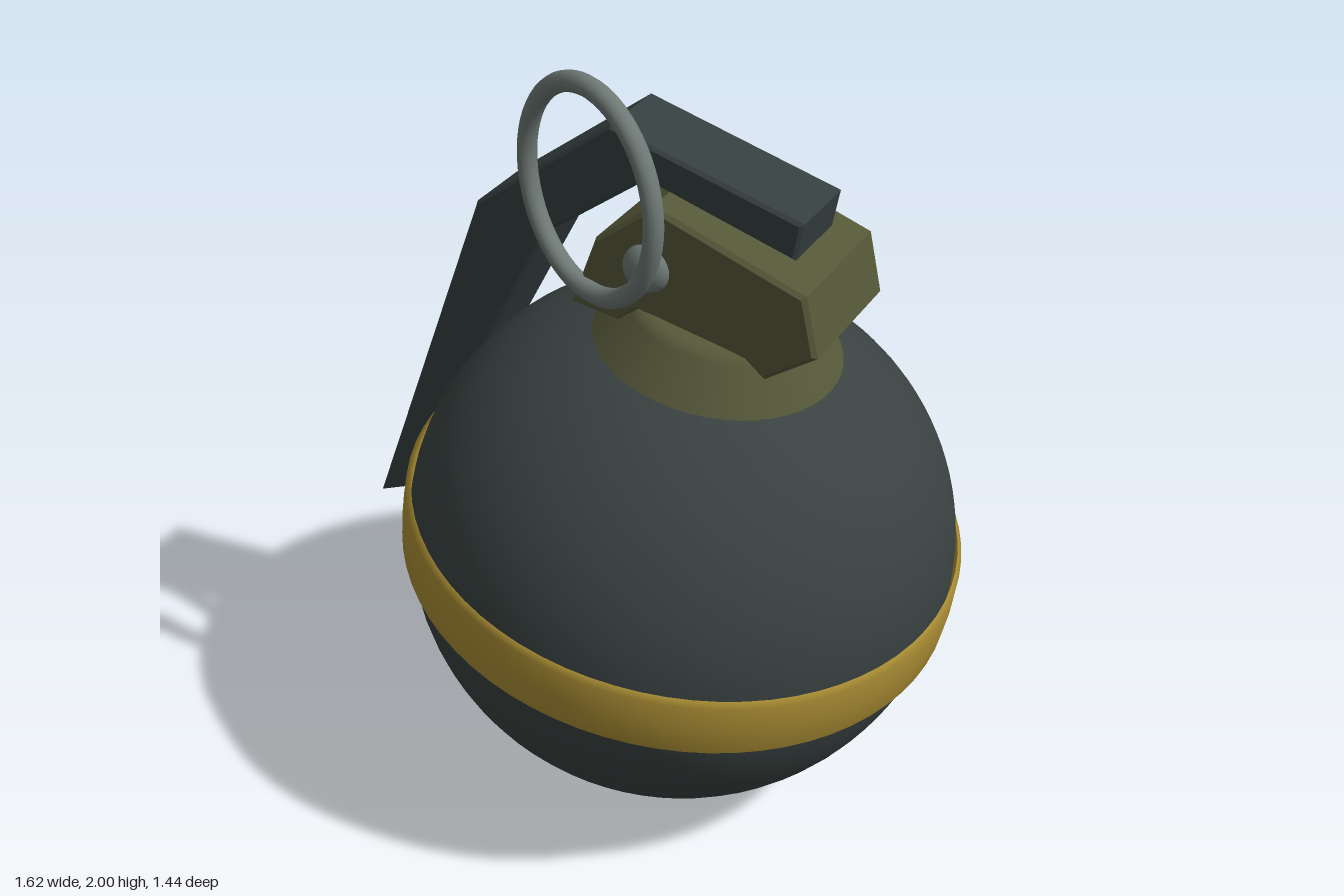
import * as THREE from 'three';

const material = (name, color, side = THREE.FrontSide) => {
  const m = new THREE.MeshStandardMaterial({ color, side });
  m.name = name;
  return m;
};

function add(parent, name, geometry, mat) {
  const mesh = new THREE.Mesh(geometry, mat);
  mesh.name = name;
  parent.add(mesh);
  return mesh;
}

const vectors = (points) => points.map(([x, y]) => new THREE.Vector2(x, y));

// Side outline extruded evenly about z = 0, with a small bevel kept inside the outline
function sidePlate(points, width, bevel) {
  const geometry = new THREE.ExtrudeGeometry(new THREE.Shape(vectors(points)), {
    depth: width - 2 * bevel,
    bevelThickness: bevel,
    bevelSize: bevel,
    bevelOffset: -bevel,
    bevelSegments: 1,
  });
  return geometry.translate(0, 0, -width / 2 + bevel);
}

export function createModel() {
  const model = new THREE.Group();
  model.name = 'grenade';

  const bodyPaint = material('dark grey body', 0x394241);
  const leverPaint = material('dark grey lever', 0x363f41);
  const olive = material('olive', 0x565839);
  const yellow = material('mustard yellow', 0xab8e34, THREE.DoubleSide);
  const steel = material('grey steel', 0x6e7975);

  // Round parts share one tilted axis
  const tilted = new THREE.Group();
  tilted.name = 'tiltedBody';
  tilted.position.set(0.09, 0.703, 0);
  tilted.rotation.z = -0.157;
  model.add(tilted);

  // Body: a sphere, slightly flattened above its equator
  const profile = [];
  for (let i = 0; i <= 40; i++) {
    const a = -Math.PI / 2 + (Math.PI * i) / 40;
    profile.push([Math.max(0, 0.703 * Math.cos(a)), (a > 0 ? 0.66 : 0.703) * Math.sin(a)]);
  }
  add(tilted, 'body', new THREE.LatheGeometry(vectors(profile), 72), bodyPaint);

  // Painted band with chamfered rims
  const bandProfile = [[0.704, -0.088], [0.717, -0.074], [0.72, 0], [0.717, 0.074], [0.704, 0.088]];
  add(tilted, 'band', new THREE.LatheGeometry(vectors(bandProfile), 72), yellow);

  // Conical neck with a softened top rim
  const neckProfile = [[0.325, 0.567], [0.31, 0.588], [0.236, 0.695], [0.222, 0.71], [0.2, 0.717], [0, 0.717]];
  add(tilted, 'neck', new THREE.LatheGeometry(vectors(neckProfile), 48), olive);

  // Fuse head
  const headOutline = [
    [-0.12, 1.4], [0.01, 1.385], [0.06, 1.43], [0.34, 1.38], [0.39, 1.34],
    [0.52, 1.435], [0.485, 1.585], [0.1, 1.71], [-0.05, 1.59],
  ];
  add(model, 'fuseHead', sidePlate(headOutline, 0.362, 0.01), olive);

  // Bent safety lever
  const leverOutline = [
    [-0.81, 0.545], [-0.715, 0.59], [-0.235, 1.515], [0.04, 1.725], [0.42, 1.62],
    [0.437, 1.715], [-0.055, 1.84], [-0.43, 1.55],
  ];
  add(model, 'lever', sidePlate(leverOutline, 0.204, 0.008), leverPaint);

  // Pin head on the front of the fuse
  const pin = add(model, 'pinHead', new THREE.SphereGeometry(0.06, 24, 16), steel);
  pin.position.set(0.087, 1.55, 0.18);
  pin.scale.z = 0.62;

  // Oval pull ring, swung outward at its +x side
  const ring = add(model, 'pullRing', new THREE.TorusGeometry(0.26, 0.025, 14, 64), steel);
  ring.position.set(-0.055, 1.715, 0.195);
  ring.rotation.set(0, -0.35, 0);
  ring.scale.x = 0.87;

  return model;
}
